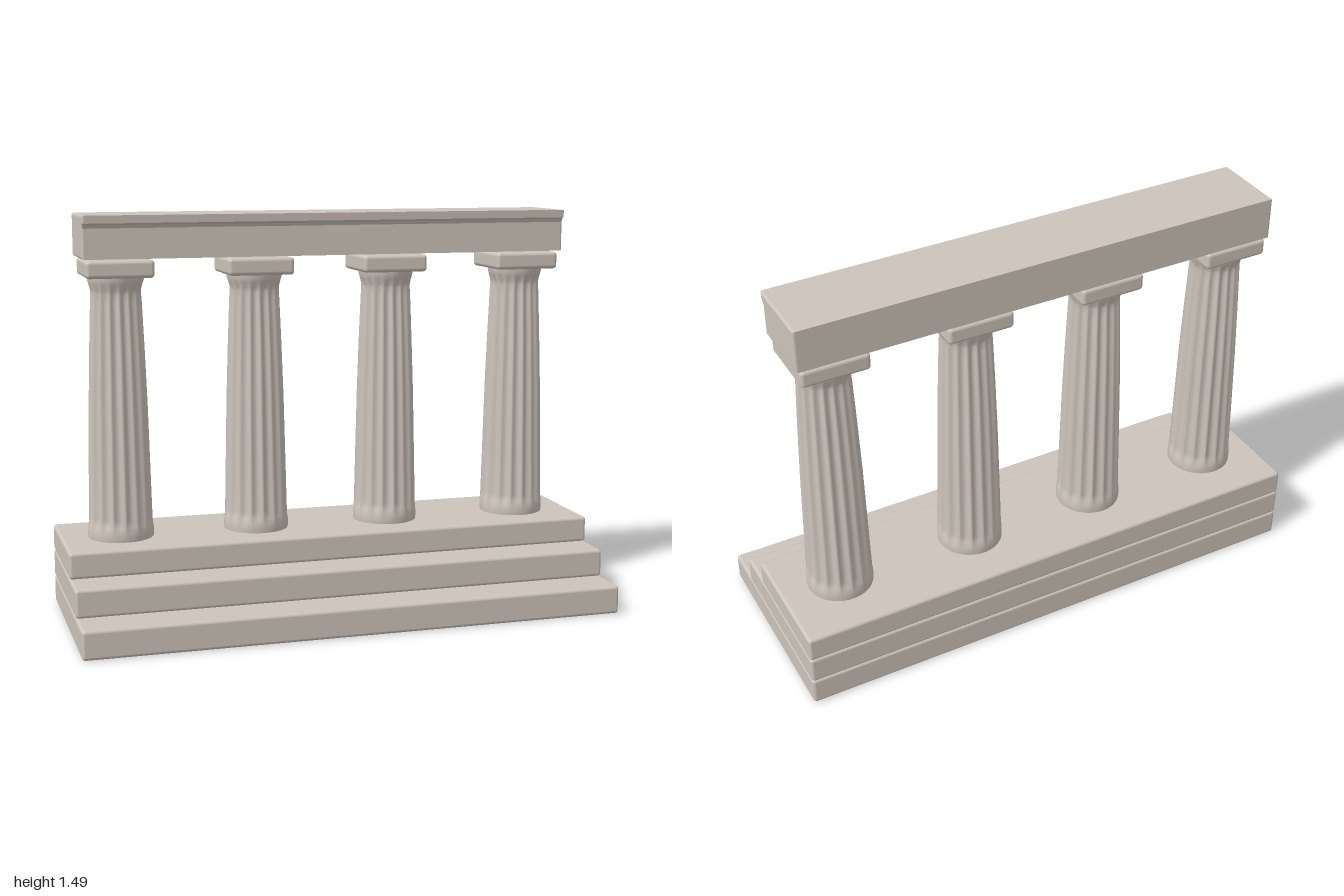
import * as THREE from 'three';
import { RoundedBoxGeometry } from 'three/addons/geometries/RoundedBoxGeometry.js';
import { mergeVertices } from 'three/addons/utils/BufferGeometryUtils.js';

const stone = new THREE.MeshStandardMaterial({ color: 0xcdc4bb });
stone.name = 'warm grey stone';

// Softly worn block given by its limits on each axis
function block(name, x0, x1, y0, y1, z0, z1, radius = 0.012) {
  const mesh = new THREE.Mesh(new RoundedBoxGeometry(x1 - x0, y1 - y0, z1 - z0, 3, radius), stone);
  mesh.position.set((x0 + x1) / 2, (y0 + y1) / 2, (z0 + z1) / 2);
  mesh.name = name;
  return mesh;
}

// Tapered shaft whose flutes fade out at the foot and the neck
function shaftGeometry() {
  const FLUTES = 16, DEPTH = 0.012;
  const profile = [
    [0.118, 0.29], [0.121, 0.31], [0.121, 0.335], [0.119, 0.355], [0.118, 0.38], [0.114, 0.55],
    [0.108, 0.8], [0.101, 1.0], [0.094, 1.17], [0.092, 1.2],
    [0.093, 1.215], [0.098, 1.235], [0.102, 1.25], [0.103, 1.27],
  ].map(([r, y]) => new THREE.Vector2(r, y));
  let geo = new THREE.LatheGeometry(profile, FLUTES * 8);
  const p = geo.attributes.position;
  for (let i = 0; i < p.count; i++) {
    const x = p.getX(i), y = p.getY(i), z = p.getZ(i);
    const r = Math.hypot(x, z);
    const fade = THREE.MathUtils.smoothstep(y, 0.33, 0.38) * (1 - THREE.MathUtils.smoothstep(y, 1.18, 1.25));
    const cut = DEPTH * fade * Math.abs(Math.sin(Math.atan2(x, z) * FLUTES / 2));
    p.setXYZ(i, x * (r - cut) / r, y, z * (r - cut) / r);
  }
  geo.deleteAttribute('uv');
  geo.deleteAttribute('normal');
  geo = mergeVertices(geo, 1e-5);
  geo.computeVertexNormals();
  return geo;
}

// Long beam with a projecting lip along the top of its front face
function beam() {
  const length = 1.825, bevel = 0.008;
  const shape = new THREE.Shape([
    [-0.265, 1.331], [-0.003, 1.331], [-0.003, 1.44], [0.004, 1.452],
    [0.014, 1.458], [0.016, 1.486], [-0.265, 1.486],
  ].map(([z, y]) => new THREE.Vector2(z, y)));
  const geo = new THREE.ExtrudeGeometry(shape, {
    depth: length - 2 * bevel, bevelEnabled: true, bevelThickness: bevel,
    bevelSize: bevel, bevelOffset: -bevel, bevelSegments: 3,
  });
  geo.translate(0, 0, -(length - 2 * bevel) / 2);
  geo.rotateY(-Math.PI / 2);
  const mesh = new THREE.Mesh(geo, stone);
  mesh.name = 'beam';
  mesh.position.x = -0.002;
  return mesh;
}

export function createModel() {
  const model = new THREE.Group();
  model.name = 'colonnade';

  // Three steps, flush at the back
  [[0, 0.105, 0.386], [0.103, 0.207, 0.232], [0.205, 0.302, 0.087]].forEach(([y0, y1, front], i) =>
    model.add(block('step' + (i + 1), -1, 1, y0, y1, -0.386, front)));

  // Four columns with square capitals
  const shaftGeo = shaftGeometry();
  [-0.779, -0.265, 0.247, 0.774].forEach((x, i) => {
    const column = new THREE.Group();
    column.name = 'column' + (i + 1);
    const shaft = new THREE.Mesh(shaftGeo, stone);
    shaft.name = 'shaft';
    column.add(shaft, block('capital', -0.123, 0.123, 1.262, 1.326, -0.128, 0.128, 0.014));
    column.position.set(x, 0, -0.136);
    model.add(column);
  });

  model.add(beam());
  return model;
}
